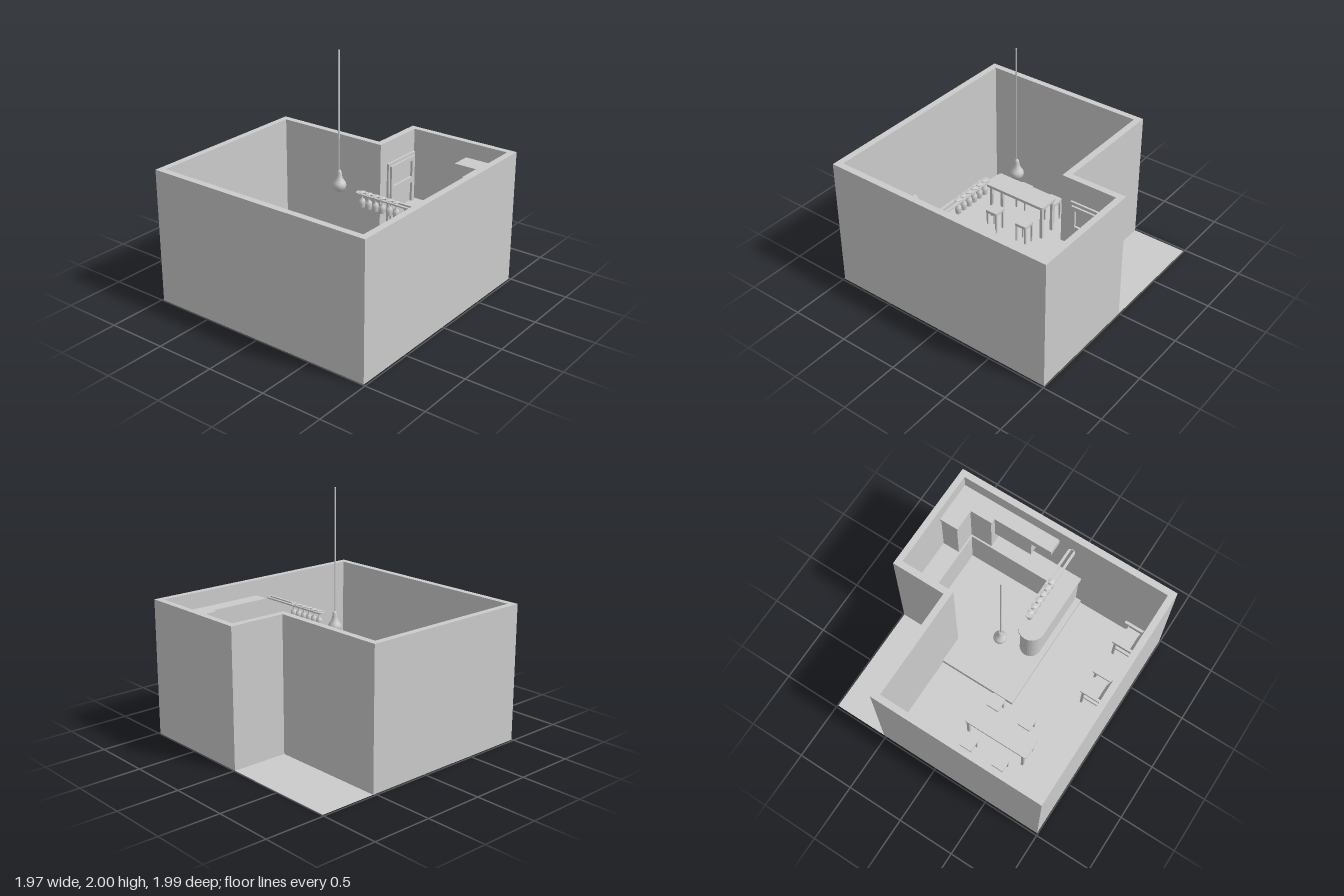
import * as THREE from 'three';
import { mergeGeometries } from 'three/addons/utils/BufferGeometryUtils.js';

const solid = new THREE.MeshStandardMaterial({ color: 0xcccccc });
const thin = new THREE.MeshStandardMaterial({ color: 0xcccccc, side: THREE.DoubleSide });

const WALL_H = 1.115, STEP_H = 0.05, COUNTER_H = 0.5, CABINET_H = 0.985;

function add(parent, name, geometry, material = solid) {
  const mesh = new THREE.Mesh(geometry, material);
  mesh.name = name;
  parent.add(mesh);
  return mesh;
}

// Box given by its limits on each axis
function box(parent, name, x0, x1, y0, y1, z0, z1) {
  const mesh = add(parent, name, new THREE.BoxGeometry(x1 - x0, y1 - y0, z1 - z0));
  mesh.position.set((x0 + x1) / 2, (y0 + y1) / 2, (z0 + z1) / 2);
  return mesh;
}

// Plan outlines are drawn in x and z
const plan = (pts) => new THREE.Shape(pts.map(([x, z]) => new THREE.Vector2(x, z)));

function roundedRect(x0, x1, z0, z1, r) {
  const s = new THREE.Shape();
  s.absarc(x1 - r, z1 - r, r, 0, Math.PI / 2);
  s.absarc(x0 + r, z1 - r, r, Math.PI / 2, Math.PI);
  s.absarc(x0 + r, z0 + r, r, Math.PI, Math.PI * 1.5);
  s.absarc(x1 - r, z0 + r, r, Math.PI * 1.5, Math.PI * 2);
  s.closePath();
  return s;
}

function slab(parent, name, shape, y0, y1) {
  const g = new THREE.ExtrudeGeometry(shape, { depth: y1 - y0, bevelEnabled: false, curveSegments: 8 });
  return add(parent, name, g.rotateX(Math.PI / 2).translate(0, y1, 0));
}

function sheet(parent, name, shape, y) {
  return add(parent, name, new THREE.ShapeGeometry(shape).rotateX(Math.PI / 2).translate(0, y, 0), thin);
}

// Upright faces along a row of plan points
function curtain(parent, name, pts, y0, y1) {
  const faces = pts.slice(1).map(([x, z], i) => {
    const [px, pz] = pts[i];
    return new THREE.PlaneGeometry(Math.hypot(x - px, z - pz), y1 - y0)
      .rotateY(-Math.atan2(z - pz, x - px))
      .translate((x + px) / 2, (y0 + y1) / 2, (z + pz) / 2);
  });
  return add(parent, name, mergeGeometries(faces), thin);
}

function buildRoom(root) {
  const outer = [[-0.983, -0.52], [0, -0.52], [0, -0.993], [0.983, -0.993], [0.983, 0.993], [-0.983, 0.993]];
  const inner = [[-0.93, -0.465], [0.055, -0.465], [0.055, -0.94], [0.928, -0.94], [0.928, 0.938], [-0.93, 0.938]];
  curtain(root, 'outerWalls', [...outer, outer[0]], 0, WALL_H);
  curtain(root, 'innerWalls', [...inner, inner[0]], 0, WALL_H);
  const rim = plan(outer);
  rim.holes.push(plan(inner));
  sheet(root, 'wallTop', rim, WALL_H);

  // Lower floor, raised kitchen floor and the step between them
  sheet(root, 'floor', plan([[-0.93, -0.465], [-0.18, -0.465], [-0.18, 0.235], [0.928, 0.235],
    [0.928, 0.938], [-0.93, 0.938]]), 0);
  sheet(root, 'kitchenFloor', plan([[-0.18, -0.465], [0.055, -0.465], [0.055, -0.94], [0.928, -0.94],
    [0.928, 0.235], [-0.18, 0.235]]), STEP_H);
  curtain(root, 'floorStep', [[-0.18, -0.465], [-0.18, 0.235], [0.928, 0.235]], 0, STEP_H);
  sheet(root, 'outdoorGround', plan([[-0.983, -0.993], [0, -0.993], [0, -0.52], [-0.983, -0.52]]), 0);
}

function buildDoor(root) {
  const door = new THREE.Group();
  door.name = 'door';
  root.add(door);
  // Rectangular frame with openings, standing on the wall and facing +x
  const panelled = (name, z0, z1, y0, y1, x, depth, holes) => {
    const rect = (a, b, c, d) => plan([[-a, c], [-a, d], [-b, d], [-b, c]]);
    const s = rect(z0, z1, y0, y1);
    holes.forEach((h) => s.holes.push(rect(...h)));
    const g = new THREE.ExtrudeGeometry(s, { depth, bevelEnabled: false });
    add(door, name, g.rotateY(Math.PI / 2).translate(x, 0, 0));
  };
  panelled('doorFrame', -0.93, -0.555, STEP_H, 0.925, 0.055, 0.018, [[-0.905, -0.58, STEP_H + 0.005, 0.9]]);
  box(door, 'doorLeaf', 0.055, 0.07, STEP_H, 0.9, -0.905, -0.58);
  panelled('doorRails', -0.905, -0.575, STEP_H, 0.9, 0.07, 0.02,
    [[-0.87, -0.61, 0.72, 0.865], [-0.87, -0.61, 0.12, 0.67]]);
}

function buildKitchen(root) {
  const k = new THREE.Group();
  k.name = 'kitchen';
  root.add(k);
  // Counter running along two walls and out into a round-ended bar
  const counter = (inset) => {
    const s = new THREE.Shape();
    const zc = 0.0925, r = 0.1125 - inset;
    s.moveTo(0.06, -0.938);
    s.lineTo(0.926, -0.938);
    s.lineTo(0.926, zc + r);
    s.lineTo(0.335, zc + r);
    s.absarc(0.335, zc, r, Math.PI / 2, Math.PI * 1.5);
    s.lineTo(0.755 + inset, zc - r);
    s.lineTo(0.755 + inset, -0.77 - inset);
    s.lineTo(0.06, -0.77 - inset);
    s.closePath();
    return s;
  };
  slab(k, 'counterBase', counter(0.02), STEP_H, COUNTER_H - 0.03);
  slab(k, 'counterTop', counter(0), COUNTER_H - 0.03, COUNTER_H);

  // Tall corner cabinet, its top, and the hanging cabinet beside it
  const corner = (i) => plan([[0.56 + i, -0.938], [0.926, -0.938], [0.926, -0.57 - i],
    [0.755 + i, -0.57 - i], [0.755 + i, -0.77 - i], [0.56 + i, -0.77 - i]]);
  slab(k, 'cornerCabinet', corner(0.015), COUNTER_H, CABINET_H - 0.03);
  slab(k, 'cornerCabinetTop', corner(0), CABINET_H - 0.03, CABINET_H);
  box(k, 'wallShelf', 0.798, 0.926, CABINET_H - 0.065, CABINET_H, -0.57, -0.035);
  box(k, 'wallCabinet', 0.802, 0.926, 0.71, CABINET_H - 0.065, -0.57, -0.22);

  // Slotted rack with a row of hanging glasses
  const rack = roundedRect(0.24, 0.926, 0.06, 0.125, 0.032);
  rack.holes.push(plan([[0.265, 0.08], [0.92, 0.08], [0.92, 0.105], [0.265, 0.105]]));
  slab(k, 'glassRack', rack, 0.945, 0.957);
  const profile = [[0, 0.968], [0.026, 0.964], [0.026, 0.959], [0.005, 0.955], [0.005, 0.915],
    [0.022, 0.9], [0.026, 0.875], [0.021, 0.84]].map(([x, y]) => new THREE.Vector2(x, y));
  const glass = new THREE.LatheGeometry(profile, 16);
  for (let i = 0; i < 6; i++) add(k, 'hangingGlass', glass, thin).position.set(0.288 + i * 0.0625, 0, 0.092);
}

function buildDining(root) {
  slab(root, 'tableTop', roundedRect(-0.585, -0.38, 0.025, 0.625, 0.025), 0.31, 0.335);
  for (const x of [-0.56, -0.415]) for (const z of [0.055, 0.585]) {
    box(root, 'tableLeg', x - 0.012, x + 0.012, 0, 0.31, z - 0.012, z + 0.012);
  }
  for (const cx of [-0.688, -0.283]) for (const cz of [0.14, 0.447]) {
    const stool = new THREE.Group();
    stool.name = 'stool';
    root.add(stool);
    slab(stool, 'stoolSeat', roundedRect(-0.059, 0.059, -0.059, 0.059, 0.012), 0.18, 0.205);
    for (const x of [-0.045, 0.045]) for (const z of [-0.045, 0.045]) {
      box(stool, 'stoolLeg', x - 0.007, x + 0.007, 0, 0.18, z - 0.007, z + 0.007);
    }
    stool.position.set(cx, 0, cz);
  }
}

// Armchair facing the back of the room
function buildArmchair(root, x) {
  const chair = new THREE.Group();
  chair.name = 'armchair';
  root.add(chair);
  slab(chair, 'seat', plan([[-0.06, 0.695], [0.06, 0.695], [0.088, 0.722], [0.088, 0.88],
    [-0.088, 0.88], [-0.088, 0.722]]), 0.13, 0.19);
  // Backrest leans back and narrows at the front
  const g = new THREE.BoxGeometry(0.19, 0.24, 0.05);
  const p = g.attributes.position;
  for (let i = 0; i < p.count; i++) {
    if (p.getZ(i) < 0) p.setX(i, p.getX(i) * 0.76);
    p.setZ(i, p.getZ(i) + p.getY(i) * 0.19);
  }
  g.computeVertexNormals();
  add(chair, 'backrest', g).position.set(0, 0.29, 0.879);
  for (const s of [-1, 1]) {
    const arm = (name, y0, y1, z0, z1) => box(chair, name, s * 0.101 - 0.012, s * 0.101 + 0.012, y0, y1, z0, z1);
    arm('armrest', 0.25, 0.27, 0.683, 0.89);
    arm('frontLeg', 0, 0.25, 0.7, 0.722);
    arm('rearLeg', 0, 0.25, 0.86, 0.882);
    arm('sideRail', 0.14, 0.165, 0.722, 0.86);
  }
  chair.position.x = x;
}

function buildLamp(root) {
  const lamp = new THREE.Group();
  lamp.name = 'pendantLamp';
  root.add(lamp);
  const cord = add(lamp, 'cord', new THREE.CylinderGeometry(0.005, 0.005, 0.98, 8));
  cord.position.set(0, 1.51, 0.006);
  cord.scale.z = 1.4;
  const pts = [[0, 0.86], [0.02, 0.864], [0.038, 0.876], [0.05, 0.894], [0.054, 0.915], [0.05, 0.934],
    [0.038, 0.95], [0.025, 0.975], [0.019, 1.0], [0.017, 1.025], [0.01, 1.038], [0, 1.04]];
  add(lamp, 'bulb', new THREE.LatheGeometry(pts.map(([x, y]) => new THREE.Vector2(x, y)), 20));
}

export function createModel() {
  const root = new THREE.Group();
  root.name = 'roomInterior';
  buildRoom(root);
  buildDoor(root);
  buildKitchen(root);
  buildDining(root);
  [0.27, 0.785].forEach((x) => buildArmchair(root, x));
  buildLamp(root);
  return root;
}
